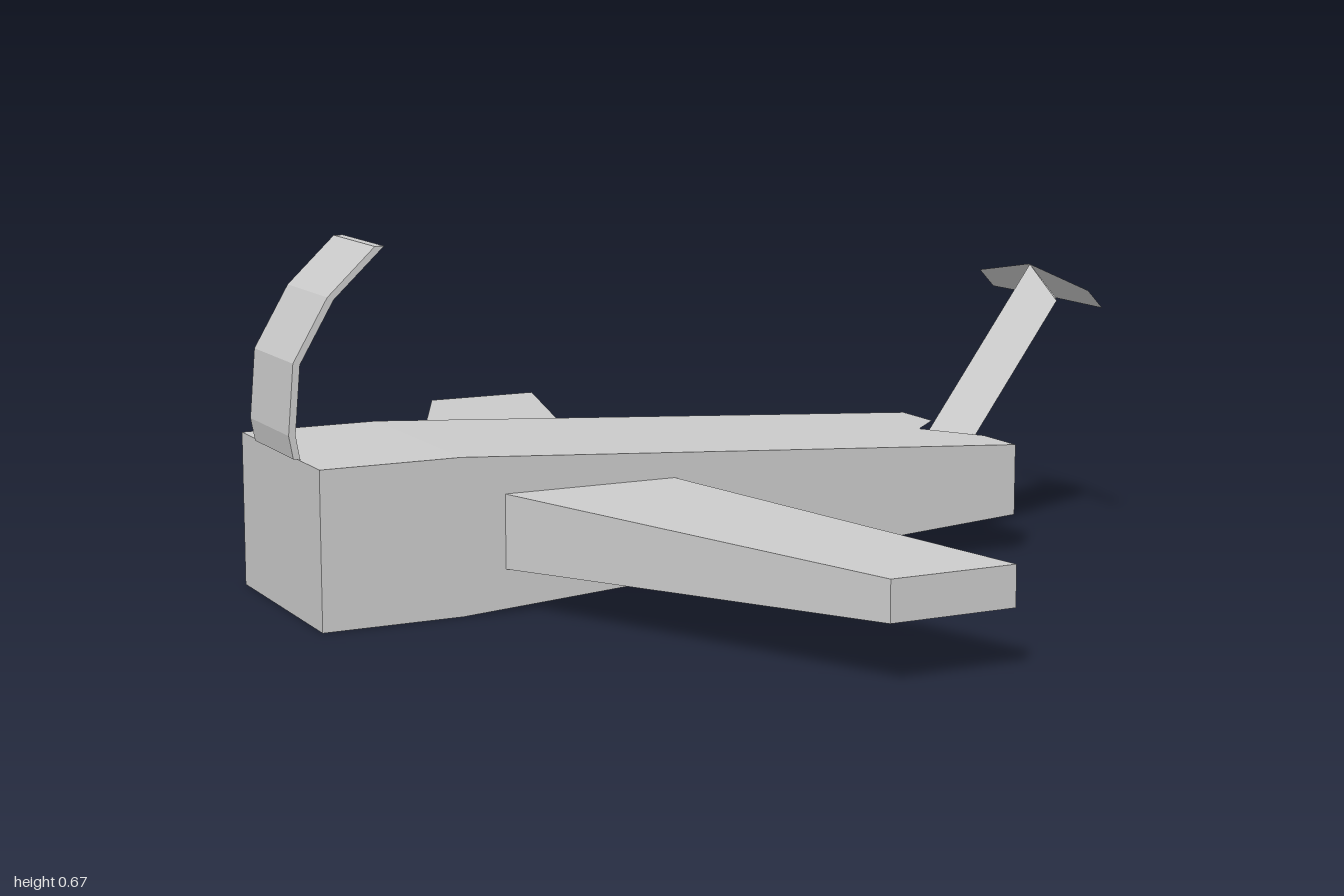
import * as THREE from 'three';
import { ConvexGeometry } from 'three/addons/geometries/ConvexGeometry.js';

const material = new THREE.MeshStandardMaterial({ color: 0xcccccc, flatShading: true });
const thin = new THREE.MeshStandardMaterial({ color: 0xcccccc, flatShading: true, side: THREE.DoubleSide });

// Flat polygons (lists of corner points), each split as a fan from its first corner
function polygonGeometry(polygons) {
  const positions = [];
  for (const p of polygons)
    for (let i = 1; i < p.length - 1; i++) positions.push(...p[0], ...p[i], ...p[i + 1]);
  const geometry = new THREE.BufferGeometry();
  geometry.setAttribute('position', new THREE.Float32BufferAttribute(positions, 3));
  geometry.computeVertexNormals();
  return geometry;
}

const hull = (points) => new ConvexGeometry(points.map((p) => new THREE.Vector3(...p)));

export function createModel() {
  const group = new THREE.Group();
  const add = (name, geometry, mat = material) => {
    const mesh = new THREE.Mesh(geometry, mat);
    mesh.name = name;
    group.add(mesh);
  };

  // Fuselage: side profile swept across z, with an open V notch at the tail
  const w = 0.215;
  const profile = [[-0.84, 0], [-0.57, 0], [0.62, 0.078], [0.62, 0.22], [-0.57, 0.295], [-0.84, 0.295]];
  const L = profile.map(([x, y]) => [x, y, w]);
  const R = profile.map(([x, y]) => [x, y, -w]);
  const notchTop = [0.528, 0.2258, 0];
  const notchLow = [0.62, 0.122, 0];
  const notchL = [0.62, 0.22, 0.1];
  const notchR = [0.62, 0.22, -0.1];
  const faces = [
    L,
    [...R].reverse(),
    [notchTop, notchR, R[3], R[4], L[4], L[3], notchL],
    [notchLow, notchL, L[3], L[2], R[2], R[3], notchR],
  ];
  for (const i of [0, 1, 4, 5]) {
    const j = (i + 1) % 6;
    faces.push([L[i], R[i], R[j], L[j]]);
  }
  add('fuselage', polygonGeometry(faces));

  // Tapered, swept wings
  for (const [side, name] of [[1, 'leftWing'], [-1, 'rightWing']]) {
    const section = (x0, x1, y0, y1, z) =>
      [[x0, y0], [x1, y0], [x1, y1], [x0, y1]].map(([x, y]) => [x, y, side * z]);
    add(name, hull([...section(-0.485, -0.14, 0.08, 0.22, w), ...section(-0.14, 0.105, 0.112, 0.187, 1)]));
  }

  // Diamond-section tail boom rising out of the notch
  const diamond = [[0.79, 0.55, 0], [0.805, 0.482, 0.078], [0.855, 0.477, 0], [0.805, 0.482, -0.078]];
  const base = diamond.map(([x, y, z]) => [x - 0.255, y - 0.351, z]);
  add('tailBoom', hull([...diamond, ...base]));

  // Thin drooping tailplane
  const front = [0.788, 0.551, 0];
  const back = [0.856, 0.476, 0];
  const tips = [1, -1].map((s) => [[0.797, 0.517, s * 0.2], [0.832, 0.48, s * 0.2]]);
  add('tailplane', polygonGeometry([
    [front, tips[0][0], tips[0][1], back],
    [front, back, tips[1][1], tips[1][0]],
  ]), thin);

  // Curved strip standing at the nose
  const outer = [[-0.85, 0.297], [-0.858, 0.34], [-0.847, 0.47], [-0.78, 0.585], [-0.688, 0.672]];
  const inner = [[-0.67, 0.672], [-0.768, 0.58], [-0.834, 0.467], [-0.845, 0.34], [-0.837, 0.295]];
  const strip = new THREE.Shape([...outer, ...inner].map(([x, y]) => new THREE.Vector2(x, y)));
  const stripGeometry = new THREE.ExtrudeGeometry(strip, { depth: 0.214, bevelEnabled: false });
  stripGeometry.translate(0, 0, -0.107);
  add('noseStrip', stripGeometry);

  return group;
}
